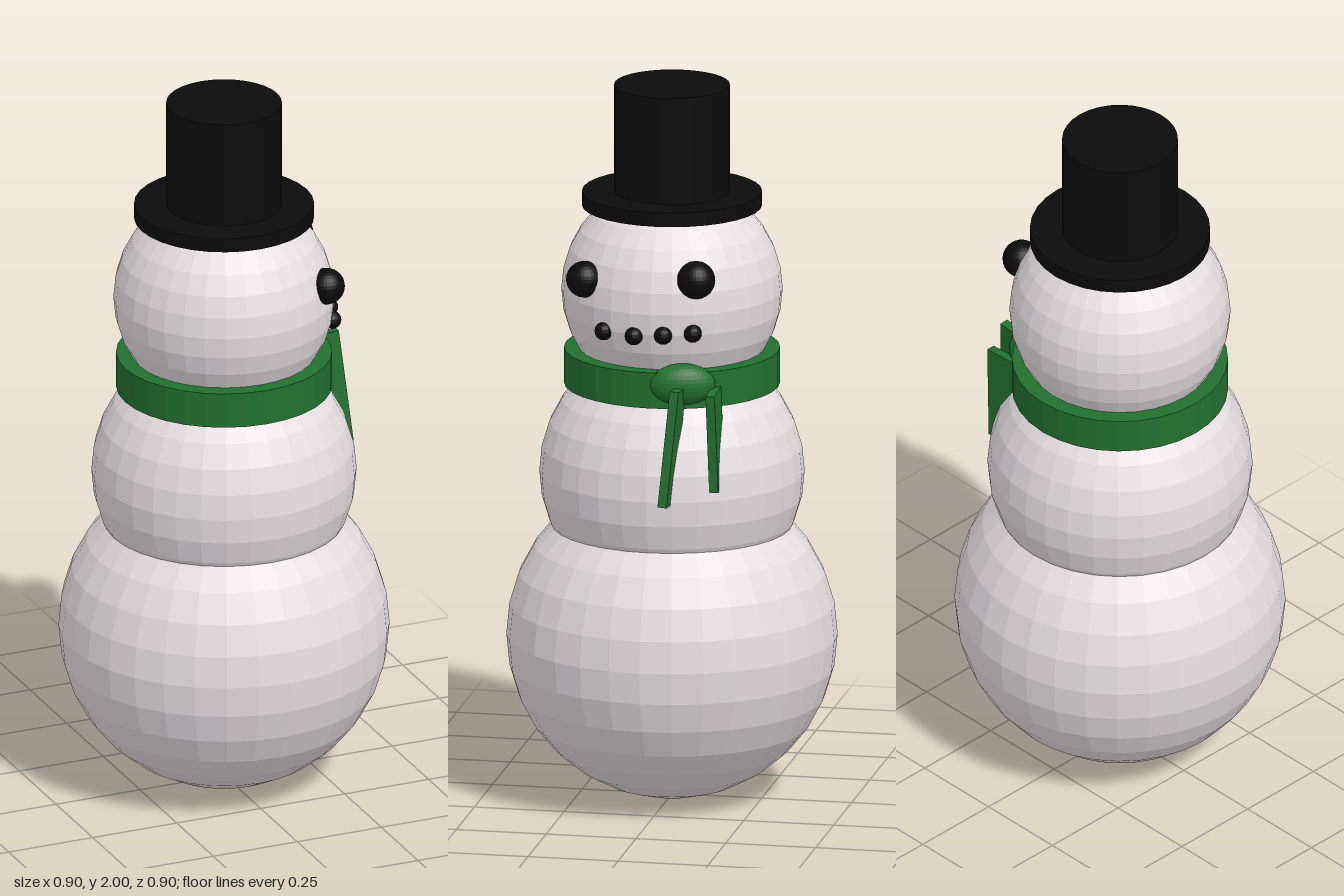
import * as THREE from 'three';

const flat = (name, color) => {
  const m = new THREE.MeshStandardMaterial({ color, flatShading: true });
  m.name = name;
  return m;
};

export function createModel() {
  const snow = flat('snow', 0xe6dfe2);
  const black = flat('coal black', 0x0b0b0b);
  const green = flat('scarf green', 0x22702f);
  const model = new THREE.Group();
  model.name = 'snowman';

  const add = (name, geometry, material, x, y, z) => {
    const mesh = new THREE.Mesh(geometry, material);
    mesh.name = name;
    mesh.position.set(x, y, z);
    model.add(mesh);
    return mesh;
  };
  const ball = (name, r, material, x, y, z, seg = 32) =>
    add(name, new THREE.SphereGeometry(r, seg, seg / 2), material, x, y, z);
  const drum = (name, r, y0, y1, material) =>
    add(name, new THREE.CylinderGeometry(r, r, y1 - y0, 32), material, 0, (y0 + y1) / 2, 0);

  // Three stacked snowballs
  ball('lowerBody', 0.452, snow, 0, 0.452, 0);
  ball('upperBody', 0.362, snow, 0, 0.912, 0);
  ball('head', 0.302, snow, 0, 1.425, 0);

  // Top hat
  drum('hatBrim', 0.246, 1.66, 1.7, black);
  drum('hatCrown', 0.158, 1.7, 2, black);

  // Coal eyes and mouth, on the +x side of the head
  ball('eye', 0.05, black, 0.218, 1.495, 0.2);
  ball('eye', 0.052, black, 0.262, 1.52, -0.12);
  const mouth = [[0.262, 1.363, 0.138], [0.292, 1.361, 0.048], [0.294, 1.367, -0.034], [0.275, 1.372, -0.113]];
  mouth.forEach(([x, y, z]) => ball('mouthCoal', 0.025, black, x, y, z, 16));

  // Scarf band and knot
  drum('scarfBand', 0.295, 1.16, 1.26, green);
  const knot = ball('scarfKnot', 1, green, 0.265, 1.225, -0.082);
  knot.scale.set(0.045, 0.058, 0.09);
  knot.rotation.y = 0.28;

  // Scarf tails: slabs hung from top to bottom, with their width along a given direction
  const tail = (top, bottom, across) => {
    const a = new THREE.Vector3(...top), b = new THREE.Vector3(...bottom);
    const up = a.clone().sub(b);
    const length = up.length();
    up.normalize();
    const out = up.clone().cross(new THREE.Vector3(...across)).normalize();
    const side = out.clone().cross(up);
    const mid = a.add(b).multiplyScalar(0.5);
    const mesh = add('scarfTail', new THREE.BoxGeometry(0.1, length, 0.025), green, mid.x, mid.y, mid.z);
    mesh.quaternion.setFromRotationMatrix(new THREE.Matrix4().makeBasis(side, up, out));
  };
  tail([0.285, 1.215, -0.035], [0.392, 0.915, -0.1], [0.022, -0.011, 0.097]);
  tail([0.25, 1.2, -0.12], [0.297, 0.952, -0.23], [0.052, -0.025, 0.085]);

  return model;
}
